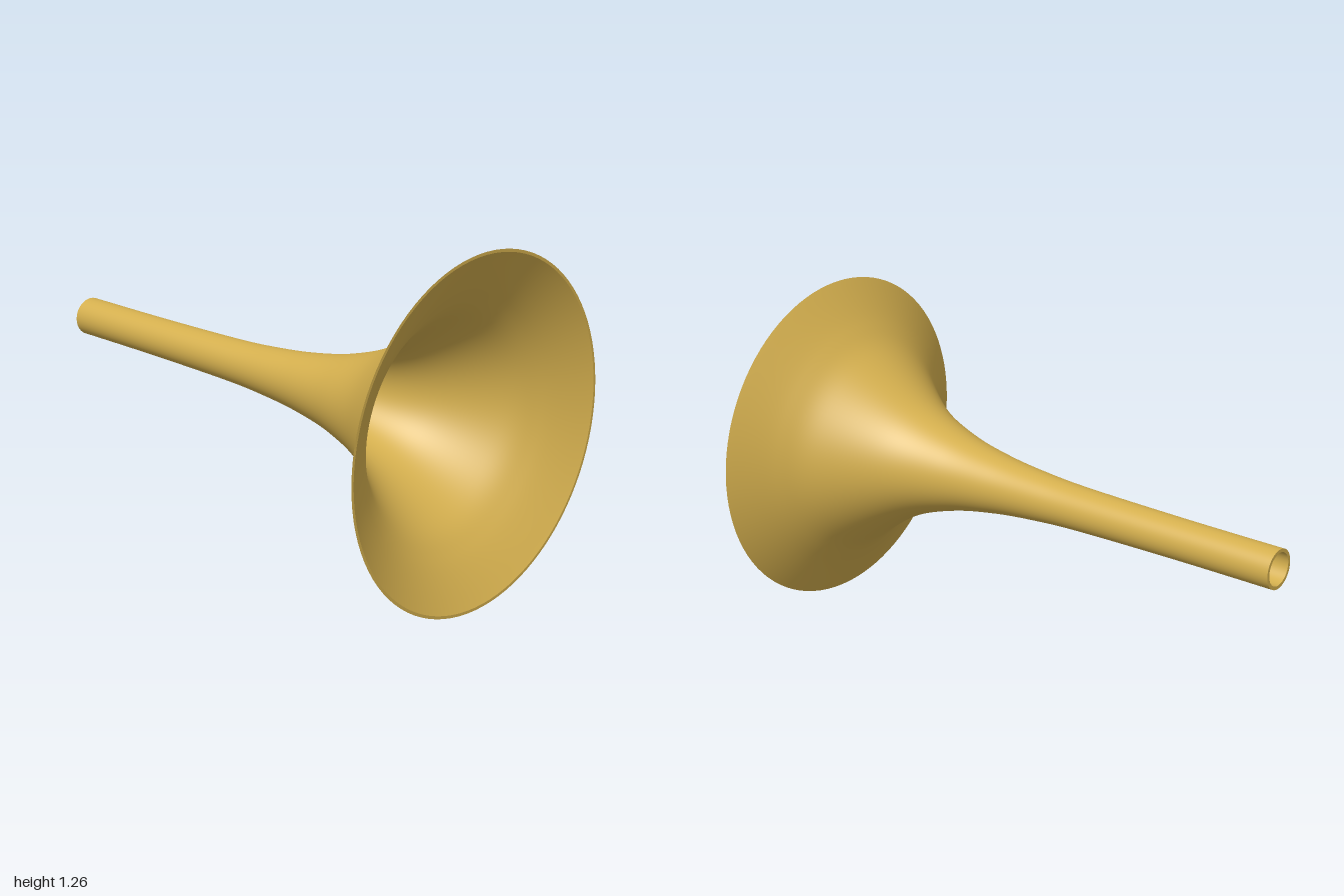
import * as THREE from 'three';

const AXIS_Y = 0.632;
const SIDES = 96;

export function createModel() {
  const model = new THREE.Group();
  model.name = 'hornBell';
  const brass = new THREE.MeshStandardMaterial({ color: 0xd4af4e });
  brass.name = 'brass';

  // Outer flare: radius against distance along the horn
  const flare = new THREE.SplineCurve([
    [0.073, -1], [0.074, -0.6], [0.08, -0.2], [0.09, 0], [0.111, 0.2],
    [0.151, 0.4], [0.226, 0.6], [0.365, 0.8], [0.475, 0.9], [0.632, 1],
  ].map(([r, x]) => new THREE.Vector2(r, x)));
  const outer = flare.getPoints(90);

  // Inner wall, thinning slightly toward the bell mouth
  const inner = outer
    .map((p) => new THREE.Vector2(p.x - 0.0125 + 0.002 * (p.y + 1) / 2, p.y))
    .reverse();

  // Each surface is a separate lathe so the rims stay crisp
  const horn = new THREE.Group();
  horn.name = 'horn';
  const addSurface = (name, profile) => {
    const mesh = new THREE.Mesh(new THREE.LatheGeometry(profile, SIDES), brass);
    mesh.name = name;
    horn.add(mesh);
  };
  addSurface('outerWall', outer);
  addSurface('bellRim', [outer[outer.length - 1], inner[0]]);
  addSurface('innerWall', inner);
  addSurface('tubeRim', [inner[inner.length - 1], outer[0]]);

  // Lay the horn along x with the bell toward +x
  horn.rotation.z = -Math.PI / 2;
  horn.position.y = AXIS_Y;
  model.add(horn);
  return model;
}
